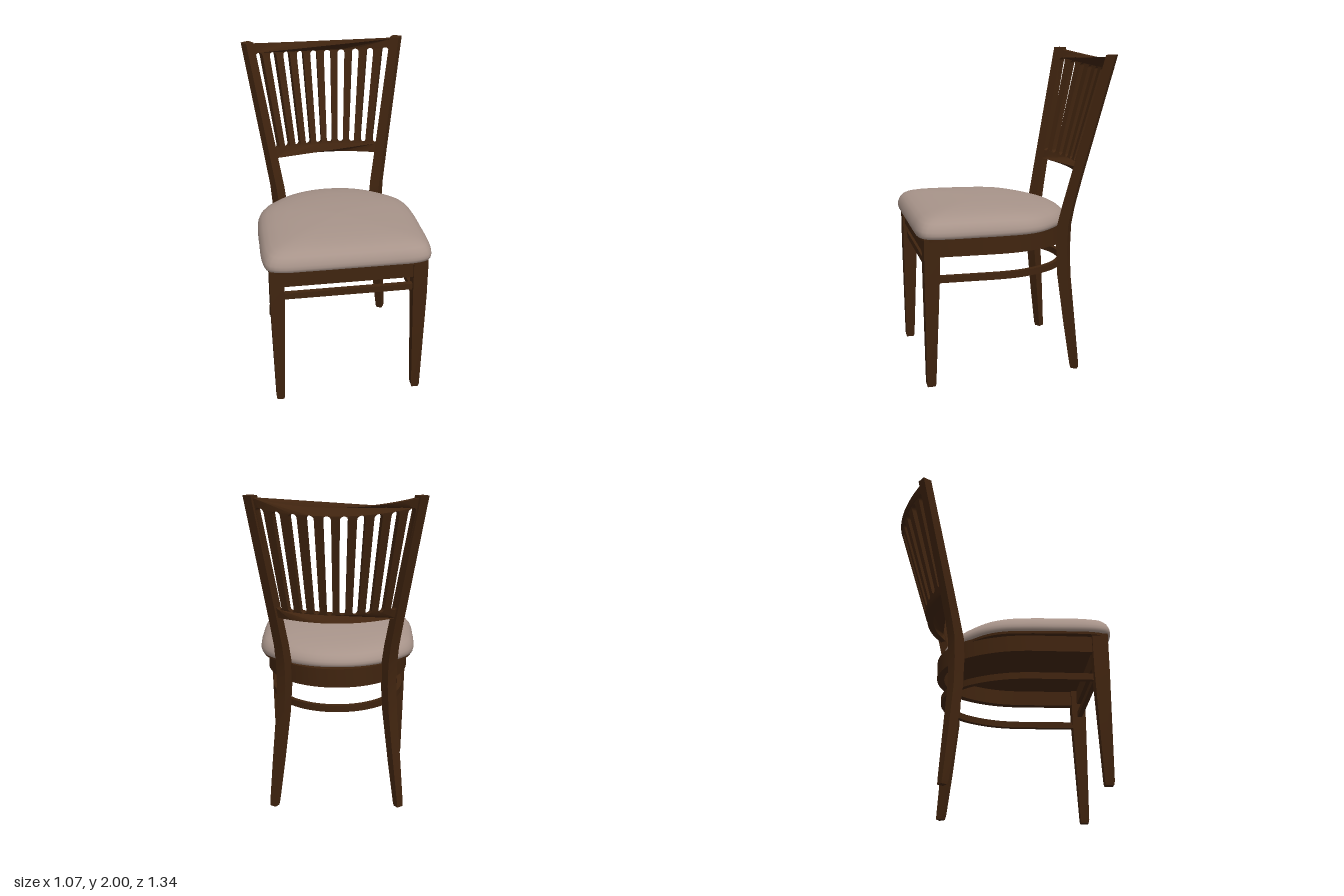
import * as THREE from 'three';
import { toCreasedNormals } from 'three/addons/utils/BufferGeometryUtils.js';

const wood = new THREE.MeshStandardMaterial({ color: 0x40240f });
wood.name = 'dark wood';
const fabric = new THREE.MeshStandardMaterial({ color: 0xa8948a });
fabric.name = 'beige upholstery';

const V3 = (x, y, z) => new THREE.Vector3(x, y, z);

function part(name, geometry, material = wood) {
  const mesh = new THREE.Mesh(geometry, material);
  mesh.name = name;
  return mesh;
}

function remap(geometry, rule) {
  const p = geometry.attributes.position;
  const v = new THREE.Vector3();
  for (let i = 0; i < p.count; i++) {
    rule(v.fromBufferAttribute(p, i));
    p.setXYZ(i, v.x, v.y, v.z);
  }
  geometry.computeVertexNormals();
  return geometry;
}

// Skin over closed rings listed bottom to top, each anticlockwise from above
function loft(rings) {
  const n = rings[0].length;
  const index = [];
  for (let i = 0; i < rings.length - 1; i++) {
    for (let j = 0; j < n; j++) {
      const a = i * n + j, b = i * n + (j + 1) % n;
      index.push(a, b, b + n, a, b + n, a + n);
    }
  }
  const g = new THREE.BufferGeometry().setFromPoints(rings.flat());
  g.setIndex(index);
  g.computeVertexNormals();
  return g;
}

// Tapered square leg through sections [x, y, z, halfWidth, halfDepth], turned by angle
function leg(sections, angle, side) {
  const c = Math.cos(angle), s = Math.sin(angle);
  const rings = sections.map(([x, y, z, w, d]) => {
    const ring = [[-w, d], [w, d], [w, -d], [-w, -d]].map(([a, b]) =>
      V3(side * (x + a * c - b * s), y, z + a * s + b * c));
    return side < 0 ? ring.reverse() : ring;
  });
  const cap = ([x, y, z]) => Array.from({ length: 4 }, () => V3(side * x, y, z));
  return toCreasedNormals(
    loft([cap(sections[0]), ...rings, cap(sections[sections.length - 1])]), 0.6);
}

// Seat outline: one half, then its mirror image
const half = [[0, .67], [.25, .67], [.42, .664], [.487, .635], [.512, .56], [.514, .3], [.51, .15],
  [.495, 0], [.455, -.1], [.37, -.2], [.27, -.282], [.14, -.342], [0, -.36]];
const mirrored = half.slice(1, -1).reverse().map(([x, z]) => [-x, z]);
const seatOutline = new THREE.CatmullRomCurve3(
  [...half, ...mirrored].map(([x, z]) => V3(x, 0, z)), true).getSpacedPoints(112).slice(0, -1);

// The seat falls slightly towards the back
const fall = z => -0.013 * (0.6 - z);

function cushion() {
  const profile = [[0, 0], [.96, 0], [.99, .005], [1, .025], [.995, .045], [.975, .07], [.94, .092],
    [.88, .11], [.78, .125], [.62, .136], [.4, .142], [.2, .144], [0, .145]];
  return loft(profile.map(([s, h]) => seatOutline.map(p => {
    const z = 0.2 + (p.z - 0.2) * s;
    const slump = 1 - 0.22 * Math.max(0, (0.3 - z) / 0.66) ** 2;
    return V3(p.x * s, 0.942 + fall(z) + h * slump, z);
  })));
}

function extrudeUp(points, y, height) {
  const shape = new THREE.Shape(points.map(p => new THREE.Vector2(p.x, -p.z)));
  const g = new THREE.ExtrudeGeometry(shape, { depth: height, bevelEnabled: false });
  g.rotateX(-Math.PI / 2);
  remap(g, v => { v.y += y + fall(v.z); });
  return toCreasedNormals(g, 0.6);
}

// U-shaped band running from one front leg round the back to the other
const hoopHalf = [[.46, .59], [.462, .35], [.46, .12], [.44, 0], [.39, -.13], [.31, -.25], [.17, -.352]];
const hoopCurve = new THREE.CatmullRomCurve3([...hoopHalf, [0, -.39],
  ...hoopHalf.slice().reverse().map(([x, z]) => [-x, z])].map(([x, z]) => V3(x, 0, z)));
function hoop(inset, thickness, y, height) {
  const edge = offset => Array.from({ length: 65 }, (_, i) => {
    const p = hoopCurve.getPointAt(i / 64), t = hoopCurve.getTangentAt(i / 64);
    return V3(p.x + t.z * offset, 0, p.z - t.x * offset);
  });
  return extrudeUp([...edge(inset), ...edge(inset + thickness).reverse()], y, height);
}

// Slotted back: drawn flat in u (across) and v (up), then bent and flared
function backPanel() {
  const N = 40;
  const outline = [];
  for (let i = 0; i <= N; i++) outline.push(new THREE.Vector2(-1 + 2 * i / N, 0));
  for (let i = 0; i <= N; i++) outline.push(new THREE.Vector2(1 - 2 * i / N, 1));
  const shape = new THREE.Shape(outline);
  for (let k = 0; k < 10; k++) {
    const u = -0.9 + 0.2 * k, r = 0.049, rv = 0.03;
    const slot = [];
    for (let i = 0; i <= 8; i++) {
      const a = Math.PI * i / 8;
      slot.push(new THREE.Vector2(u + r * Math.cos(a), 0.9 + rv * Math.sin(a)));
    }
    for (let i = 0; i <= 8; i++) {
      const a = Math.PI * (1 + i / 8);
      slot.push(new THREE.Vector2(u + r * Math.cos(a), 0.105 + rv * Math.sin(a)));
    }
    shape.holes.push(new THREE.Path(slot));
  }
  const g = new THREE.ExtrudeGeometry(shape, { depth: 1, bevelEnabled: false });
  const mix = THREE.MathUtils.lerp;
  remap(g, p => {
    const u = p.x, v = p.y, t = (p.z - 0.5) * 0.04;
    const len = Math.hypot(0.6 * u, 1);
    p.set(
      u * mix(.365, .485, v) - t * 0.6 * u / len,
      mix(1.237 + .015 * u * u, 1.945 + .045 * u * u, v),
      mix(-.447 + .105 * u * u, -.653 + .15 * u * u, v) + t / len);
  });
  return toCreasedNormals(g, 0.6);
}

export function createModel() {
  const chair = new THREE.Group();
  chair.name = 'diningChair';

  // Seat
  chair.add(part('seatCushion', cushion(), fabric));
  chair.add(part('seatBoard', extrudeUp(
    seatOutline.map(p => V3(p.x * .965, 0, .2 + (p.z - .2) * .965)), .927, .016)));

  // Rails and stretchers
  chair.add(part('curvedApron', hoop(0, .045, .825, .118)));
  chair.add(part('curvedStretcher', hoop(.028, .03, .655, .042)));
  const frontRail = part('frontApron', new THREE.BoxGeometry(.82, .115, .045));
  frontRail.position.set(0, .885, .6);
  const frontStretcher = part('frontStretcher', new THREE.BoxGeometry(.82, .04, .03));
  frontStretcher.position.set(0, .752, .595);
  chair.add(frontRail, frontStretcher);

  // Legs, with the back pair rising into the posts of the back
  for (const side of [1, -1]) {
    const label = side > 0 ? 'left' : 'right';
    chair.add(part(label + 'FrontLeg', leg([
      [.435, 0, .603, .021, .024], [.435, .02, .603, .026, .028],
      [.436, .7, .59, .043, .046], [.436, .942, .588, .044, .048]], 0, side)));
    chair.add(part(label + 'BackLegAndPost', leg([
      [.397, 0, -.342, .02, .02], [.395, .03, -.337, .023, .023], [.368, .3, -.31, .029, .029],
      [.337, .62, -.28, .033, .034], [.328, .8, -.276, .034, .036], [.33, .94, -.28, .034, .036],
      [.342, 1.06, -.302, .033, .033], [.372, 1.25, -.342, .032, .031],
      [.492, 2, -.508, .03, .029]], .6, side)));
  }

  // Back
  chair.add(part('slattedBack', backPanel()));
  return chair;
}
